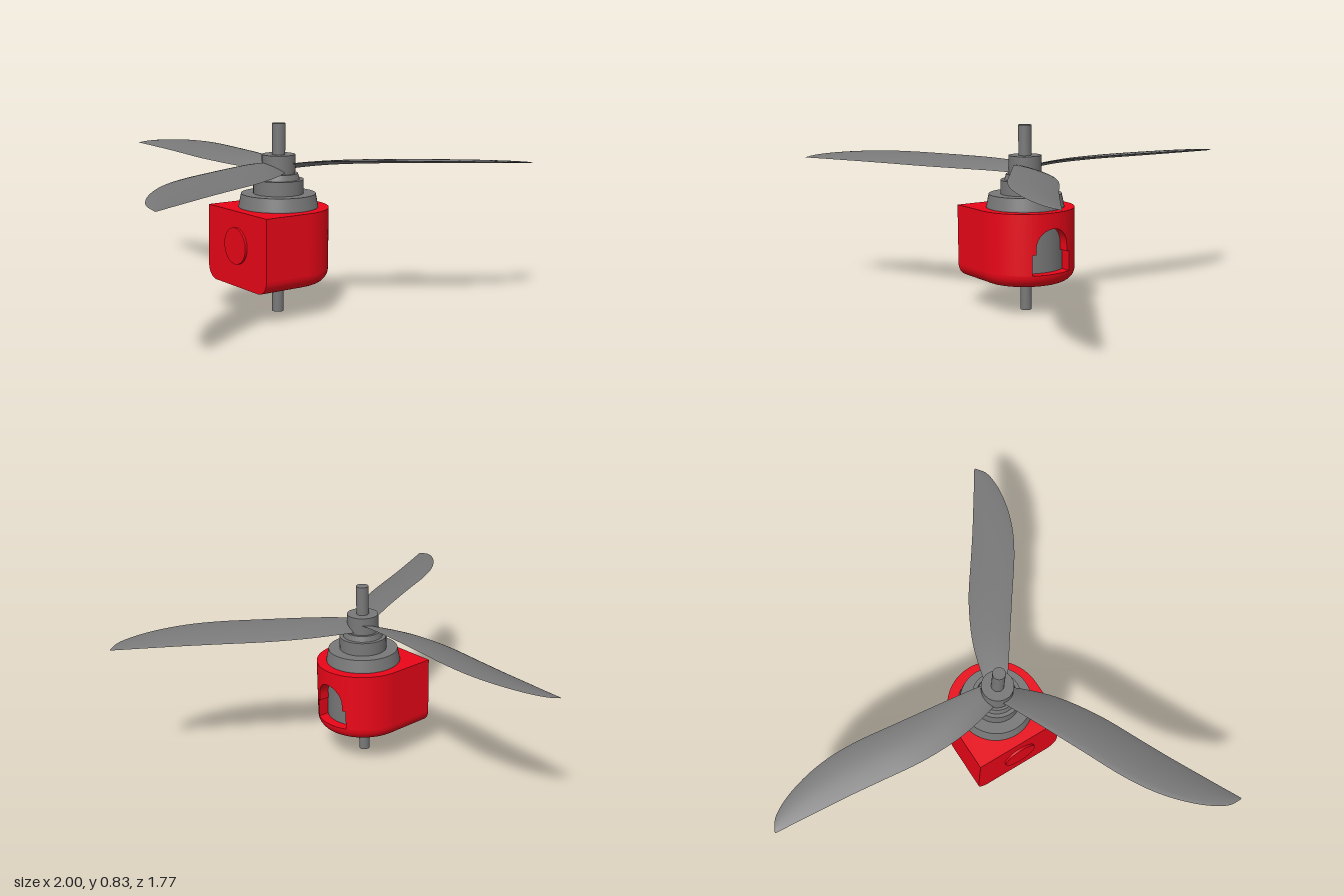
import * as THREE from 'three';
import { mergeGeometries } from 'three/addons/utils/BufferGeometryUtils.js';

const grey = new THREE.MeshStandardMaterial({ color: 0x787878, side: THREE.DoubleSide });
const red = new THREE.MeshStandardMaterial({ color: 0xea0618, side: THREE.DoubleSide });
const V = (x, y, z) => new THREE.Vector3(x, y, z);
const R = 0.22, FILLET = 0.06, BOTTOM = 0.14, TOP = 0.47;
const WALL = BOTTOM + FILLET;

function add(parent, name, geometry, material) {
  const mesh = new THREE.Mesh(geometry, material);
  mesh.name = name;
  parent.add(mesh);
  return mesh;
}

// Surface through rows of points; outside faces the viewer when columns run right and rows run up
function grid(rows) {
  const n = rows[0].length, index = [];
  for (let i = 0; i < rows.length - 1; i++) {
    for (let j = 0; j < n - 1; j++) {
      const a = i * n + j, d = a + n;
      index.push(a, a + 1, d + 1, a, d + 1, d);
    }
  }
  const g = new THREE.BufferGeometry().setFromPoints(rows.flat());
  g.setIndex(index);
  g.computeVertexNormals();
  return g;
}

function cylinder(parent, name, rBottom, rTop, y0, y1) {
  const mesh = add(parent, name, new THREE.CylinderGeometry(rTop, rBottom, y1 - y0, 48), grey);
  mesh.position.y = (y0 + y1) / 2;
}

// D-shaped plan: flat at -x, half round at +x
function dShape(r) {
  const s = new THREE.Shape();
  s.moveTo(-R, -r);
  s.lineTo(0, -r);
  s.absarc(0, 0, r, -Math.PI / 2, Math.PI / 2, false);
  s.lineTo(-R, r);
  s.closePath();
  return s;
}

function arcRow(r, y, from, to, n = 24) {
  const row = [];
  for (let i = 0; i <= n; i++) {
    const a = from + (to - from) * i / n;
    row.push(V(r * Math.cos(a), y, r * Math.sin(a)));
  }
  return row;
}

function createHousing() {
  const g = new THREE.Group();
  g.name = 'housing';
  const H = Math.PI / 2, half = 0.097, edge = Math.asin(half / R);

  // Rounded lower edge
  const rows = [];
  for (let i = 0; i <= 10; i++) {
    const a = H * i / 10;
    const r = R - FILLET * (1 - Math.sin(a)), y = WALL - FILLET * Math.cos(a);
    rows.push([V(-R, y, r), ...arcRow(r, y, H, -H, 48), V(-R, y, -r)]);
  }
  add(g, 'roundedLowerEdge', grid(rows), red);

  // Side walls up to the window
  add(g, 'frontWall', grid([WALL, TOP].map(y => [V(-R, y, R), ...arcRow(R, y, H, edge)])), red);
  add(g, 'backWall', grid([WALL, TOP].map(y => [...arcRow(R, y, -edge, -H), V(-R, y, -R)])), red);

  // Window: arch standing on a wider rectangle
  const outline = [[half, 0.29], [0.08, 0.29]];
  for (let i = 0; i <= 20; i++) {
    const a = Math.PI * i / 20;
    outline.push([0.08 * Math.cos(a), 0.32 + 0.08 * Math.sin(a)]);
  }
  outline.push([-0.08, 0.29], [-half, 0.29]);
  const onWall = (z, y, r) => V(Math.sqrt(r * r - z * z), y, z);
  add(g, 'wallAboveWindow', grid([
    outline.map(([z, y]) => onWall(z, y, R)),
    outline.map(([z]) => onWall(z, TOP, R)),
  ]), red);
  const loop = [...outline];
  for (let i = 0; i <= 10; i++) loop.push([-half + 2 * half * i / 10, WALL]);
  loop.push(outline[0]);
  const reveal = grid([0.17, R].map(r => loop.map(([z, y]) => onWall(z, y, r)))).toNonIndexed();
  reveal.computeVertexNormals();
  add(g, 'windowReveal', reveal, red);

  // Top plate with an opening for the motor
  const topShape = dShape(R);
  topShape.holes.push(new THREE.Path().absarc(0, 0, 0.172, 0, Math.PI * 2, true));
  add(g, 'topPlate', new THREE.ShapeGeometry(topShape, 48).rotateX(-H), red).position.y = TOP;

  // Bottom plate with four screw holes
  const bottomShape = dShape(R - FILLET);
  for (let k = 0; k < 4; k++) {
    const a = (k + 0.5) * H, x = 0.09 * Math.cos(a), z = 0.09 * Math.sin(a);
    bottomShape.holes.push(new THREE.Path().absarc(x, z, 0.012, 0, Math.PI * 2, true));
    const bore = add(g, 'screwHole', new THREE.CylinderGeometry(0.012, 0.012, 0.025, 16, 1, true), red);
    bore.position.set(x, BOTTOM + 0.0125, z);
    const floor = add(g, 'screwHoleFloor', new THREE.CircleGeometry(0.012, 16).rotateX(H), red);
    floor.position.set(x, BOTTOM + 0.025, z);
  }
  add(g, 'bottomPlate', new THREE.ShapeGeometry(bottomShape, 24).rotateX(H), red).position.y = BOTTOM;

  // Flat end with rounded lower corners and a round boss
  const end = new THREE.Shape();
  end.moveTo(-R, TOP);
  end.lineTo(-R, WALL);
  end.absarc(-R + FILLET, WALL, FILLET, Math.PI, Math.PI * 1.5, false);
  end.absarc(R - FILLET, WALL, FILLET, Math.PI * 1.5, Math.PI * 2, false);
  end.lineTo(R, TOP);
  add(g, 'flatEnd', new THREE.ShapeGeometry(end, 10).rotateY(-H), red).position.x = -R;
  const boss = add(g, 'roundBoss', new THREE.CylinderGeometry(0.08, 0.08, 0.02, 40).rotateZ(H), red);
  boss.position.set(-R, 0.32, 0);
  return g;
}

// Twisted blade pointing to -z
function bladeGeometry() {
  // left edge, right edge, radius
  const stations = [
    [-0.045, 0.045, 0.03], [-0.062, 0.052, 0.08], [-0.092, 0.064, 0.2], [-0.105, 0.074, 0.3],
    [-0.108, 0.09, 0.46], [-0.09, 0.11, 0.66], [-0.077, 0.109, 0.8], [-0.068, 0.087, 0.93],
    [-0.06, 0.045, 1.05], [-0.056, 0, 1.12], [-0.054, -0.048, 1.15],
  ];
  const curve = new THREE.CatmullRomCurve3(stations.map(s => V(...s)), false, 'centripetal');
  const upper = [], lower = [];
  for (let i = 0; i <= 50; i++) {
    const { x: left, y: right, z: r } = curve.getPoint(i / 50);
    const chord = right - left, root = Math.exp(-r / 0.15);
    const side = sign => Array.from({ length: 15 }, (_, j) => {
      const t = j / 14, arch = Math.sin(Math.PI * t);
      const y = 0.641 - 0.02 * root + chord * t * (0.17 + 0.28 * root)
        + chord * arch * 0.04 + sign * chord * 0.03 * Math.sqrt(Math.max(arch, 0));
      return V(left + chord * t, y, -r);
    });
    upper.push(side(1));
    lower.push(side(-1).reverse());
  }
  return mergeGeometries([grid(upper), grid(lower)]);
}

export function createModel() {
  const model = new THREE.Group();
  model.name = 'propellerMotor';
  model.position.set(-0.03, 0, 0.26);
  model.add(createHousing());

  // Motor body and its stepped collars
  cylinder(model, 'motorBody', 0.174, 0.174, 0.17, 0.475);
  cylinder(model, 'motorShoulder', 0.174, 0.163, 0.475, 0.53);
  cylinder(model, 'lowerCollar', 0.11, 0.11, 0.53, 0.592);
  cylinder(model, 'upperCollar', 0.092, 0.085, 0.592, 0.618);

  // Propeller hub and shaft
  cylinder(model, 'hub', 0.073, 0.073, 0.618, 0.7);
  cylinder(model, 'upperShaft', 0.029, 0.029, 0.7, 0.835);
  cylinder(model, 'lowerShaft', 0.025, 0.025, 0, 0.17);

  // Three blades
  const blade = bladeGeometry();
  for (let k = 0; k < 3; k++) add(model, 'blade', blade, grey).rotation.y = k * Math.PI * 2 / 3;

  const root = new THREE.Group();
  root.name = 'model';
  root.add(model);
  return root;
}
